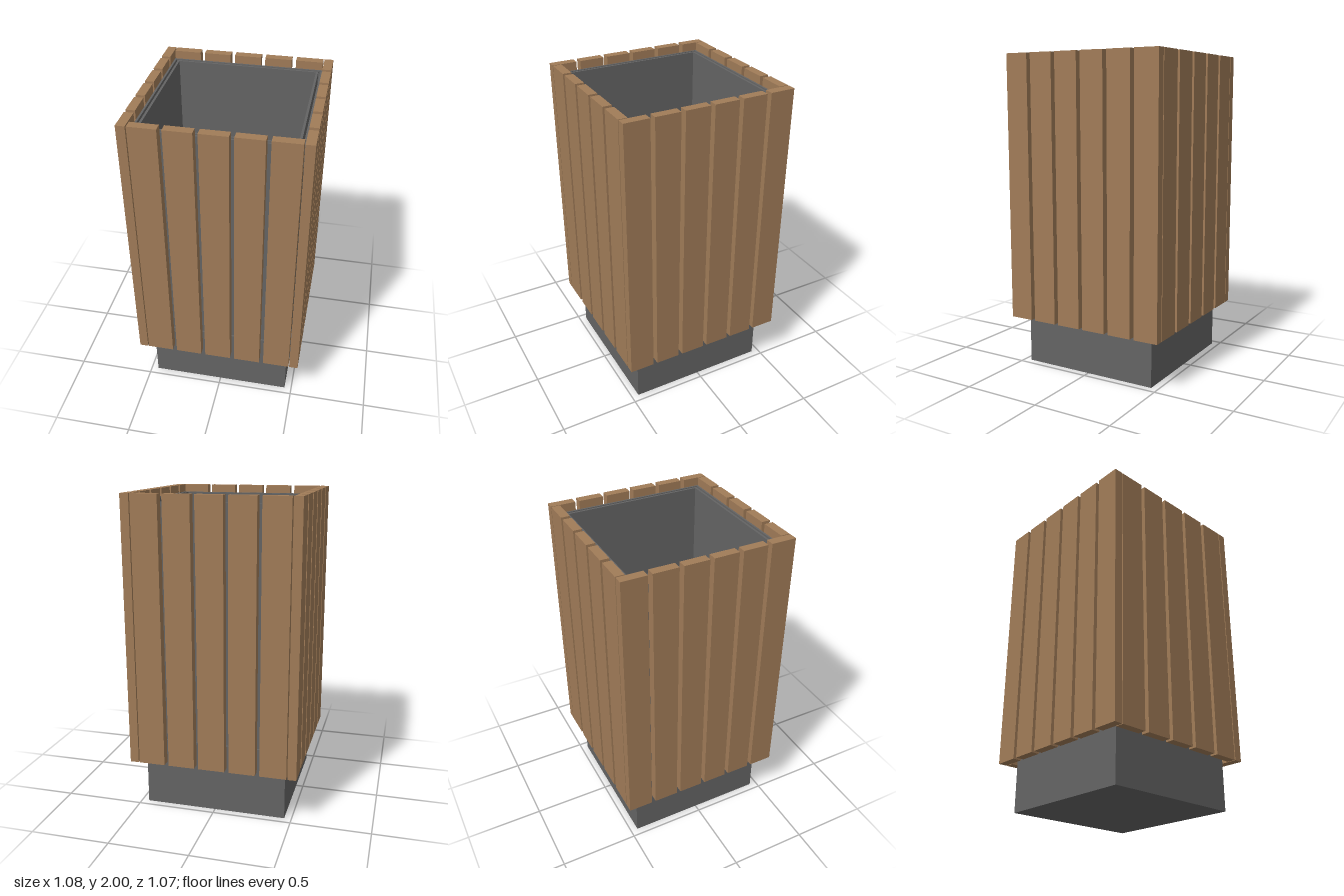
import * as THREE from 'three';

const wood = new THREE.MeshStandardMaterial({ color: 0xa17c58 });
const metal = new THREE.MeshStandardMaterial({ color: 0x646464 });

const BOTTOM = 0.31, TOP = 2;

// Square path of half-width r
function square(PathType, r) {
  const p = new PathType();
  p.moveTo(-r, -r).lineTo(r, -r).lineTo(r, r).lineTo(-r, r).closePath();
  return p;
}

// Upright square tube between heights y0 and y1
function squareTube(name, outer, inner, y0, y1) {
  const shape = square(THREE.Shape, outer);
  shape.holes.push(square(THREE.Path, inner));
  const geo = new THREE.ExtrudeGeometry(shape, { depth: y1 - y0, bevelEnabled: false });
  geo.rotateX(-Math.PI / 2).translate(0, y0, 0);
  const mesh = new THREE.Mesh(geo, metal);
  mesh.name = name;
  return mesh;
}

// Box centred at x, z between heights y0 and y1
function box(name, w, d, x, z, y0, y1, material) {
  const mesh = new THREE.Mesh(new THREE.BoxGeometry(w, y1 - y0, d), material);
  mesh.position.set(x, (y0 + y1) / 2, z);
  mesh.name = name;
  return mesh;
}

export function createModel() {
  const model = new THREE.Group();
  model.name = 'slattedBin';

  // Inner bin: thin walls and a floor
  const bin = new THREE.Group();
  bin.name = 'innerBin';
  bin.add(squareTube('binWalls', 0.454, 0.44, 0, 1.95));
  bin.add(box('binFloor', 0.88, 0.88, 0, 0, 0, 0.015, metal));
  model.add(bin);

  // Two bands that carry the slats, standing clear of the bin
  model.add(squareTube('lowerBand', 0.478, 0.466, 0.34, 0.46));
  model.add(squareTube('upperBand', 0.478, 0.466, 1.83, 1.95));

  // Wooden slats: five on the front and back, six on each side
  const slats = new THREE.Group();
  slats.name = 'slats';
  for (const s of [1, -1]) {
    for (let i = 0; i < 5; i++) {
      const x = (i - 2) * 0.196;
      slats.add(box(s > 0 ? 'frontSlat' : 'backSlat', 0.168, 0.055, x, s * 0.508, BOTTOM, TOP, wood));
    }
    for (let i = 0; i < 6; i++) {
      const z = (i - 2.5) * 0.183;
      slats.add(box(s > 0 ? 'leftSlat' : 'rightSlat', 0.055, 0.156, s * 0.51, z, BOTTOM, TOP, wood));
    }
  }
  model.add(slats);
  return model;
}
